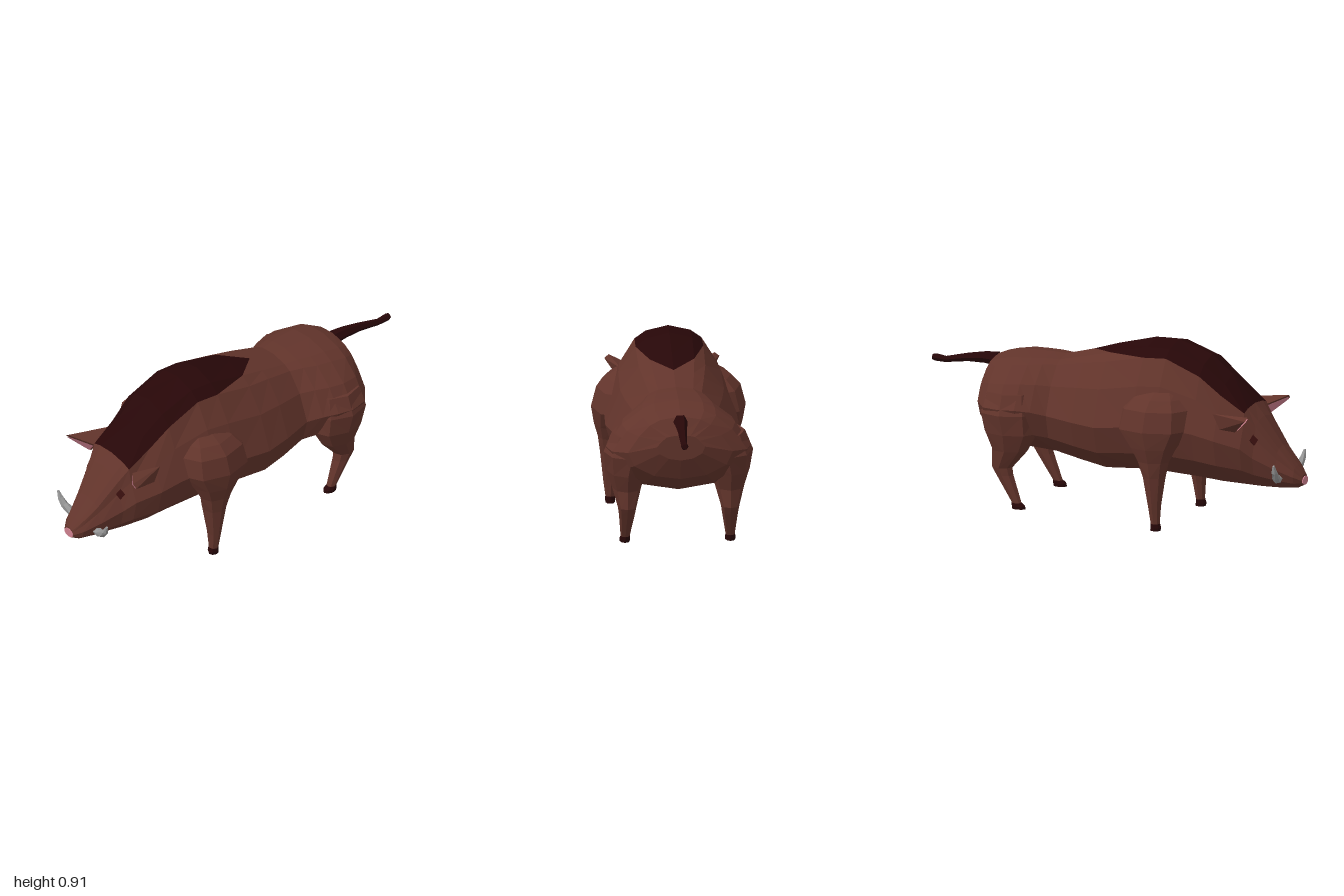
import * as THREE from 'three';
import { ConvexGeometry } from 'three/addons/geometries/ConvexGeometry.js';

const mat = (name, color, side = THREE.FrontSide) => {
  const m = new THREE.MeshStandardMaterial({ color, flatShading: true, side });
  m.name = name;
  return m;
};
const V = (x, y, z) => new THREE.Vector3(x, y, z);

// Skin a list of closed rings, cap both ends; isSecond(i, j, t) picks the second material
function loft(rings, isSecond = () => false) {
  const lists = [[], []];
  const n = rings[0].length;
  for (let i = 0; i < rings.length - 1; i++) {
    for (let j = 0; j < n; j++) {
      const a = rings[i][j], b = rings[i][(j + 1) % n];
      const d = rings[i + 1][j], c = rings[i + 1][(j + 1) % n];
      // Mirrored diagonals keep both flanks alike
      const pair = j < n / 2 ? [[a, b, d], [b, c, d]] : [[a, b, c], [a, c, d]];
      pair.forEach((tri, t) => lists[isSecond(i, j, t) ? 1 : 0].push(tri));
    }
  }
  [rings[0], rings[rings.length - 1]].forEach((r, e) => {
    const mid = r.reduce((s, p) => s.add(p), V(0, 0, 0)).divideScalar(n);
    for (let j = 0; j < n; j++) {
      const p = r[j], q = r[(j + 1) % n];
      lists[0].push(e ? [p, q, mid] : [q, p, mid]);
    }
  });
  // Turn all faces outward using the signed volume
  let vol = 0;
  lists.flat().forEach(([a, b, c]) => { vol += a.dot(b.clone().cross(c)); });
  const g = new THREE.BufferGeometry();
  const pos = [];
  lists.forEach((list, k) => {
    const start = pos.length / 3;
    list.forEach(([a, b, c]) => (vol > 0 ? [a, b, c] : [a, c, b]).forEach(p => pos.push(p.x, p.y, p.z)));
    g.addGroup(start, pos.length / 3 - start, k);
  });
  g.setAttribute('position', new THREE.Float32BufferAttribute(pos, 3));
  g.computeVertexNormals();
  return g;
}

// Half outline of the trunk from back ridge to belly, then mirrored
function trunkRing([z, top, mw, my, w, wy, b]) {
  const half = [
    [0, top], [mw * 0.67, top - (top - my) * 0.4], [mw, my],
    [w * 0.78, wy + (my - wy) * 0.6], [w, wy],
    [w * 0.88, wy - (wy - b) * 0.5], [w * 0.5, b + (wy - b) * 0.13], [0, b],
  ];
  const other = half.slice(1, -1).reverse().map(([x, y]) => [-x, y]);
  return [...half, ...other].map(([x, y]) => V(x, y, z));
}

// Horizontal elliptical ring for the legs: y, centre x, centre z, radius x, radius z
function legRing([y, cx, cz, rx, rz], s) {
  return Array.from({ length: 8 }, (_, j) => {
    const a = j * Math.PI / 4;
    return V(s * (cx + rx * Math.cos(a)), y, cz + rz * Math.sin(a));
  });
}

// Tapered tube along points [x, y, z, radius]
function taper(path, sides) {
  const pts = path.map(p => V(p[0], p[1], p[2]));
  return loft(pts.map((p, i) => {
    const dir = pts[Math.min(i + 1, pts.length - 1)].clone().sub(pts[Math.max(i - 1, 0)]).normalize();
    const q = new THREE.Quaternion().setFromUnitVectors(V(0, 0, 1), dir);
    return Array.from({ length: sides }, (_, j) => {
      const a = j / sides * Math.PI * 2;
      return V(Math.cos(a), Math.sin(a), 0).multiplyScalar(path[i][3]).applyQuaternion(q).add(p);
    });
  }));
}

export function createModel() {
  const hide = mat('brown hide', 0x62342b);
  const dark = mat('dark bristle', 0x270708);
  const eyeMat = mat('dark red eye', 0x380f0e);
  const tuskMat = mat('grey tusk', 0x969696);
  const pink = mat('pink skin', 0xcd7f8e, THREE.DoubleSide);

  const root = new THREE.Group();
  root.name = 'wildBoar';
  const add = (name, geo, m, parent = root) => {
    const mesh = new THREE.Mesh(geo, m);
    mesh.name = name;
    parent.add(mesh);
    return mesh;
  };

  // Head and trunk: z, top, ridge half width, ridge y, half width, widest y, bottom
  const trunk = [
    [0.995, 0.285, 0.025, 0.28, 0.038, 0.26, 0.232],
    [0.96, 0.33, 0.05, 0.32, 0.07, 0.28, 0.215],
    [0.88, 0.425, 0.08, 0.40, 0.11, 0.32, 0.207],
    [0.78, 0.565, 0.115, 0.53, 0.16, 0.38, 0.205],
    [0.73, 0.625, 0.14, 0.60, 0.20, 0.43, 0.206],
    [0.61, 0.76, 0.15, 0.68, 0.25, 0.47, 0.21],
    [0.50, 0.85, 0.165, 0.77, 0.27, 0.50, 0.22],
    [0.32, 0.91, 0.165, 0.845, 0.31, 0.53, 0.235],
    [0.20, 0.91, 0.168, 0.84, 0.325, 0.52, 0.24],
    [0, 0.86, 0.165, 0.80, 0.33, 0.50, 0.23],
    [-0.13, 0.82, 0.15, 0.78, 0.31, 0.51, 0.255],
    [-0.28, 0.78, 0.13, 0.75, 0.27, 0.52, 0.285],
    [-0.35, 0.785, 0.15, 0.75, 0.31, 0.54, 0.295],
    [-0.42, 0.785, 0.17, 0.745, 0.345, 0.55, 0.305],
    [-0.50, 0.785, 0.18, 0.74, 0.36, 0.55, 0.32],
    [-0.59, 0.77, 0.18, 0.725, 0.335, 0.55, 0.36],
    [-0.65, 0.745, 0.15, 0.70, 0.26, 0.56, 0.42],
    [-0.695, 0.66, 0.07, 0.65, 0.12, 0.60, 0.53],
  ];
  // The mane is the ridge strip from the brow, narrowing to a point behind the shoulders
  const isMane = (i, j, t) => {
    const strip = Math.min(j, 13 - j);
    const last = 9 - strip;
    return strip < 2 && i >= 4 && (i < last || (i === last && t === 0));
  };
  add('bodyAndMane', loft(trunk.map(trunkRing), isMane), [hide, dark]);

  // Nose disc
  const nose = add('nose', new THREE.CylinderGeometry(1, 1, 0.008, 10).rotateX(Math.PI / 2), pink);
  nose.scale.set(0.034, 0.022, 1);
  nose.position.set(0, 0.256, 0.996);

  // Tail
  add('tail', taper([
    [0, 0.718, -0.65, 0.037], [0, 0.72, -0.72, 0.03], [0, 0.712, -0.81, 0.022],
    [0, 0.69, -0.93, 0.016], [0, 0.695, -0.985, 0.019], [0, 0.697, -1.0, 0.014],
  ], 6), dark);

  const foreLeg = [
    [0.70, 0.19, 0.30, 0.05, 0.09], [0.66, 0.21, 0.295, 0.10, 0.14], [0.61, 0.235, 0.29, 0.122, 0.18],
    [0.51, 0.25, 0.285, 0.133, 0.195], [0.42, 0.273, 0.295, 0.095, 0.125],
    [0.35, 0.28, 0.30, 0.068, 0.085],
    [0.27, 0.275, 0.305, 0.062, 0.06], [0.12, 0.283, 0.31, 0.038, 0.033],
    [0.03, 0.285, 0.315, 0.024, 0.023],
  ];
  const foreHoof = [[0.035, 0.285, 0.315, 0.025, 0.025], [0.015, 0.286, 0.318, 0.025, 0.029], [0, 0.286, 0.315, 0.023, 0.027]];
  const hindLeg = [
    [0.62, 0.22, -0.49, 0.11, 0.13], [0.52, 0.24, -0.49, 0.13, 0.155],
    [0.42, 0.255, -0.475, 0.10, 0.14],
    [0.33, 0.255, -0.48, 0.072, 0.095], [0.24, 0.255, -0.52, 0.046, 0.055],
    [0.20, 0.255, -0.505, 0.04, 0.045], [0.06, 0.26, -0.437, 0.022, 0.024],
  ];
  const hindHoof = [[0.065, 0.26, -0.44, 0.023, 0.027], [0.05, 0.261, -0.43, 0.027, 0.036], [0.035, 0.261, -0.428, 0.025, 0.036]];

  for (const s of [1, -1]) {
    const side = s > 0 ? 'left' : 'right';
    const leg = (name, rings, foot) => {
      const g = new THREE.Group();
      g.name = side + name;
      root.add(g);
      add('leg', loft(rings.map(r => legRing(r, s))), hide, g);
      add('hoof', loft(foot.map(r => legRing(r, s))), dark, g);
    };
    leg('FrontLeg', foreLeg, foreHoof);
    leg('HindLeg', hindLeg, hindHoof);

    // Pointed ear with a thin inset lining on its front face
    const ear = [V(s * 0.148, 0.578, 0.715), V(s * 0.2, 0.515, 0.705), V(s * 0.285, 0.595, 0.795), V(s * 0.262, 0.612, 0.80)];
    add(side + 'Ear', new ConvexGeometry([...ear, V(s * 0.21, 0.6, 0.59), V(s * 0.215, 0.525, 0.63)]), hide);
    const mid = ear.reduce((sum, p) => sum.add(p), V(0, 0, 0)).divideScalar(4);
    const out = ear[1].clone().sub(ear[0]).cross(ear[3].clone().sub(ear[0])).normalize().multiplyScalar(s * 0.006);
    const lining = ear.map(p => p.clone().lerp(mid, 0.12).add(out));
    const lg = new THREE.BufferGeometry().setFromPoints((s > 0 ? [0, 1, 3, 1, 2, 3] : [0, 3, 1, 1, 3, 2]).map(i => lining[i]));
    lg.computeVertexNormals();
    add(side + 'EarLining', lg, pink);

    // Diamond eye plate
    const eye = add(side + 'Eye', new THREE.CylinderGeometry(0.025, 0.025, 0.009, 4).rotateX(Math.PI / 2), eyeMat);
    eye.position.set(s * 0.132, 0.467, 0.777);
    eye.lookAt(s * 0.832, 0.867, 1.377);
    eye.scale.set(0.9, 1.1, 1);

    // Upward curving tusk
    add(side + 'Tusk', taper([
      [s * 0.075, 0.272, 0.89, 0.022], [s * 0.115, 0.275, 0.895, 0.021], [s * 0.155, 0.297, 0.905, 0.019],
      [s * 0.182, 0.327, 0.91, 0.015], [s * 0.197, 0.362, 0.912, 0.006],
    ], 6), tuskMat);
  }
  return root;
}
